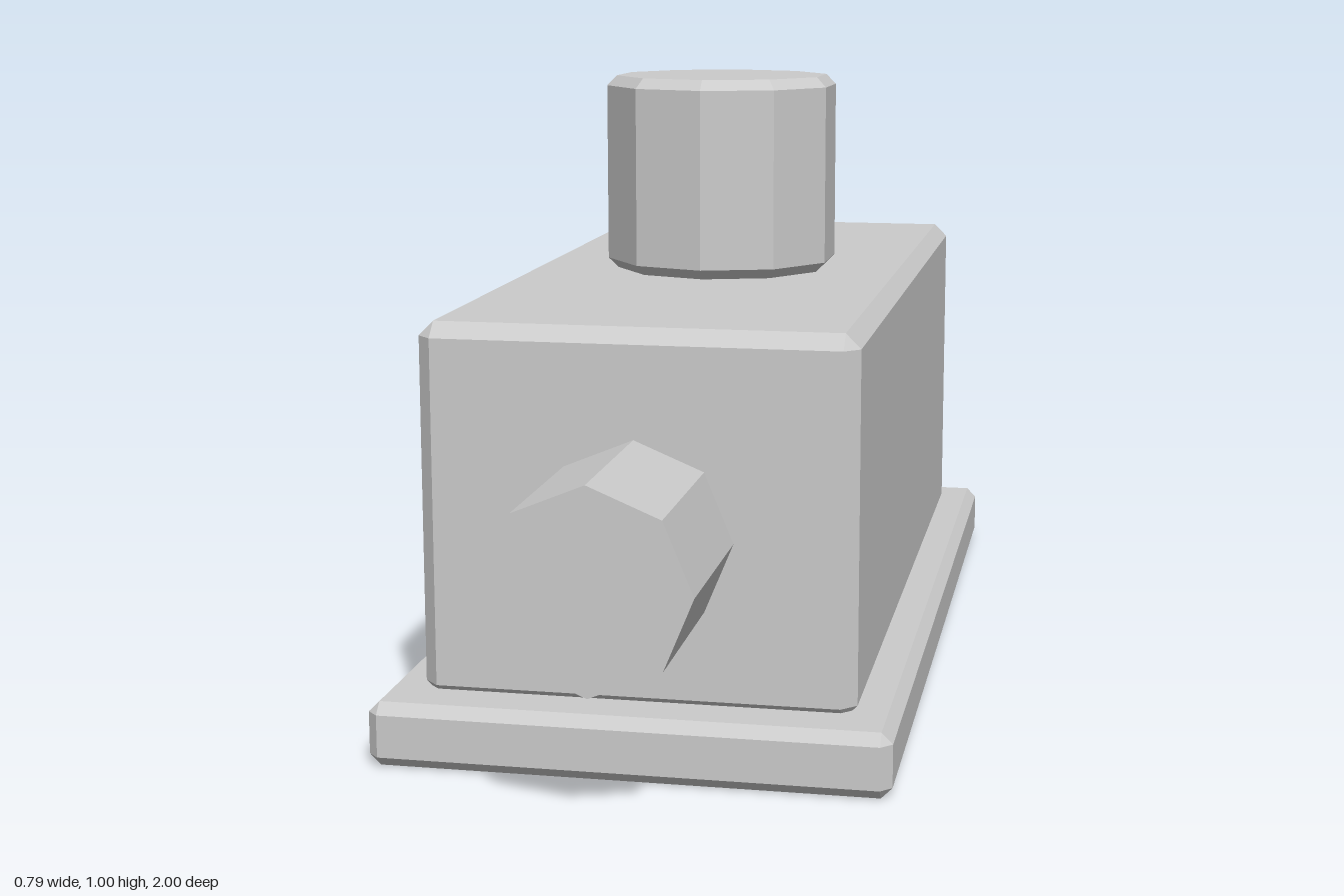
import * as THREE from 'three';
import { ConvexGeometry } from 'three/addons/geometries/ConvexGeometry.js';

const material = new THREE.MeshStandardMaterial({ color: 0xcccccc, flatShading: true });

function part(name, geometry) {
  const mesh = new THREE.Mesh(geometry, material);
  mesh.name = name;
  return mesh;
}

// Box with every edge cut back by c, standing between y0 and y1
function chamferedBox(hx, y0, y1, hz, c) {
  const points = [];
  const hy = (y1 - y0) / 2;
  for (const x of [-1, 1]) for (const y of [-1, 1]) for (const z of [-1, 1]) {
    points.push(
      new THREE.Vector3(x * hx, y * (hy - c), z * (hz - c)),
      new THREE.Vector3(x * (hx - c), y * hy, z * (hz - c)),
      new THREE.Vector3(x * (hx - c), y * (hy - c), z * hz)
    );
  }
  return new ConvexGeometry(points).translate(0, (y0 + y1) / 2, 0);
}

// Upright prism with chamfered rims
function chamferedPrism(r, y0, y1, c, sides) {
  const profile = [[0, y0], [r - c, y0], [r, y0 + c], [r, y1 - c], [r - c, y1], [0, y1]];
  return new THREE.LatheGeometry(profile.map(([x, y]) => new THREE.Vector2(x, y)), sides);
}

export function createModel() {
  const group = new THREE.Group();

  // Base plate and housing
  group.add(part('basePlate', chamferedBox(0.396, 0, 0.1, 0.79, 0.017)));
  group.add(part('housing', chamferedBox(0.333, 0.085, 0.667, 0.708, 0.023)));

  // Ten-sided knob on top
  group.add(part('topKnob', chamferedPrism(0.2, 0.667, 1, 0.017, 10)));

  // Octagonal shaft through both ends
  const shaft = part('shaft', new THREE.CylinderGeometry(0.15, 0.15, 2, 8).rotateX(Math.PI / 2));
  shaft.position.y = 0.352;
  group.add(shaft);

  return group;
}
